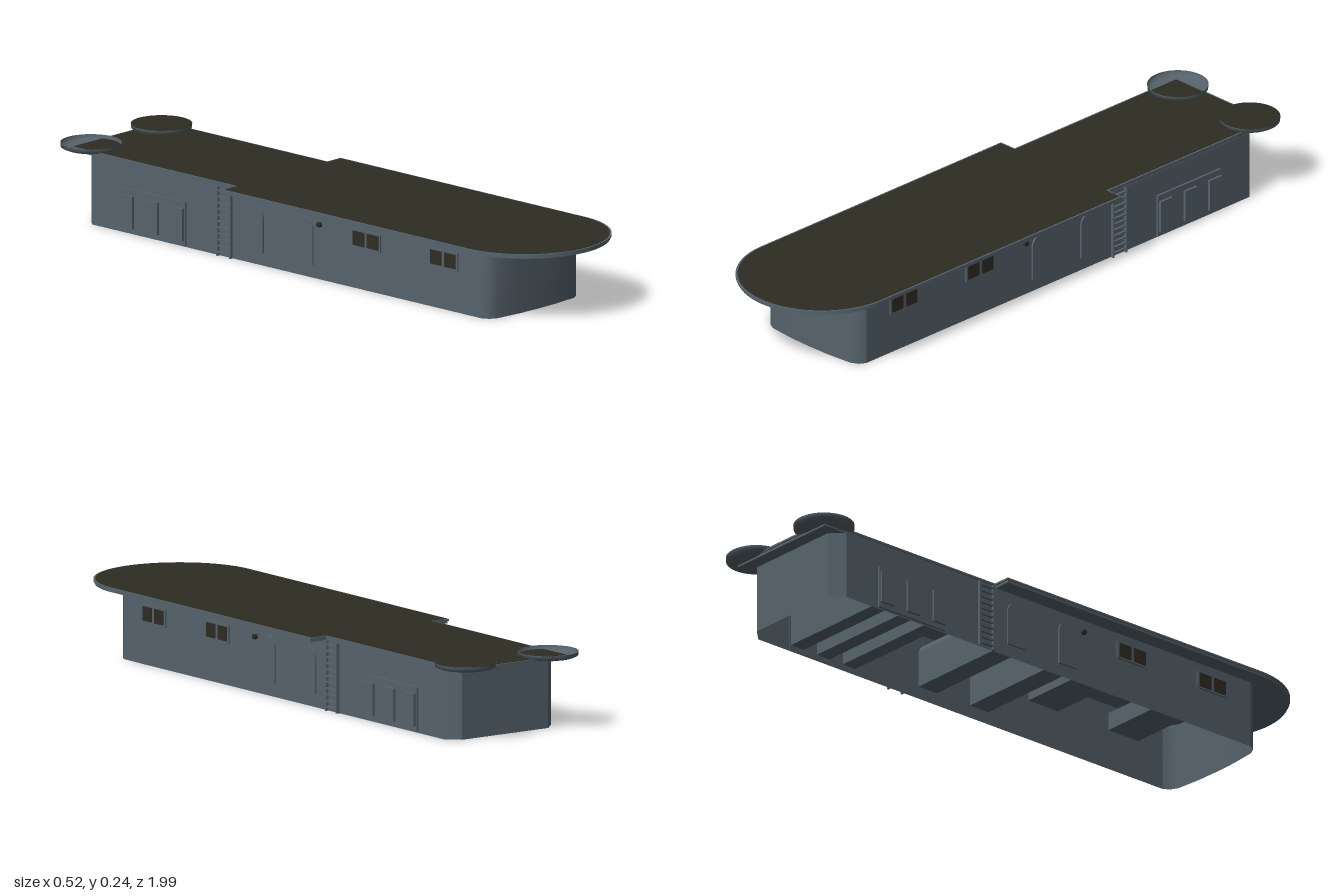
import * as THREE from 'three';
import { toCreasedNormals } from 'three/addons/utils/BufferGeometryUtils.js';

export function createModel() {
  const model = new THREE.Group();
  model.name = 'deckHouse';
  const slate = new THREE.MeshStandardMaterial({ name: 'slate', color: 0x56636c, side: THREE.DoubleSide });
  const olive = new THREE.MeshStandardMaterial({ name: 'darkOlive', color: 0x2e2c22 });

  function add(name, geometry, material, x = 0, y = 0, z = 0, parent = model) {
    const mesh = new THREE.Mesh(geometry, material);
    mesh.name = name;
    mesh.position.set(x, y, z);
    parent.add(mesh);
    return mesh;
  }
  const box = (name, w, h, d, x, y, z, material = slate, parent = model) =>
    add(name, new THREE.BoxGeometry(w, h, d), material, x, y, z, parent);

  // Upright open wall following a plan line of [x, z] points
  function wall(name, plan, height, crease) {
    const pos = [];
    for (let i = 0; i < plan.length - 1; i++) {
      const [ax, az] = plan[i], [bx, bz] = plan[i + 1];
      pos.push(ax, 0, az, bx, 0, bz, bx, height, bz, ax, 0, az, bx, height, bz, ax, height, az);
    }
    const g = new THREE.BufferGeometry();
    g.setAttribute('position', new THREE.Float32BufferAttribute(pos, 3));
    add(name, toCreasedNormals(g, crease), slate);
  }
  const H = 0.213;
  wall('frontWall', [[-0.2, 0.745], [-0.188, 0.766], [-0.165, 0.778], [-0.08, 0.786], [0, 0.788],
    [0.08, 0.786], [0.165, 0.778], [0.188, 0.766], [0.2, 0.745]], H, 0.9);
  wall('sideAndRearWall', [[0.2, 0.745], [0.2, -0.86], [0.16, -0.9], [-0.16, -0.9],
    [-0.2, -0.86], [-0.2, 0.745]], H, 0.3);

  // Roof outline with a round nose and a narrow tail, lying flat
  function roofLayer(name, inset, y, h, material) {
    const w = 0.258 - inset, t = 0.2 - inset, step = 0.27 - inset;
    const s = new THREE.Shape();
    s.moveTo(-t, 0.947 - inset);
    s.lineTo(t, 0.947 - inset);
    s.lineTo(t, step);
    s.lineTo(w, step);
    s.lineTo(w, -0.735);
    s.absarc(0, -0.735, w, 0, -Math.PI, true);
    s.lineTo(-w, step);
    s.lineTo(-t, step);
    s.closePath();
    const g = new THREE.ExtrudeGeometry(s, { depth: h, bevelEnabled: false, curveSegments: 32 });
    g.rotateX(-Math.PI / 2);
    // shape y maps to -z
    add(name, toCreasedNormals(g, 0.5), material, 0, y, 0);
  }
  roofLayer('roofSlab', 0.004, 0.211, 0.008, slate);
  roofLayer('roofRim', 0, 0.219, 0.006, slate);
  roofLayer('roofDeck', 0.006, 0.2245, 0.0015, olive);

  // Round platforms at the rear corners: an open tub on the right, a decked one on the left
  const tub = [[0, 0.216], [0.05, 0.217], [0.08, 0.22], [0.091, 0.225], [0.092, 0.237]]
    .map(([r, y]) => new THREE.Vector2(r, y));
  for (const s of [-1, 1]) {
    add(s < 0 ? 'rightTub' : 'leftTub', new THREE.LatheGeometry(tub, 40), slate, s * 0.153, 0, -0.908);
  }
  add('leftTubDeck', new THREE.CylinderGeometry(0.091, 0.091, 0.002, 40), olive, 0.153, 0.2365, -0.908);

  // Window pairs: frames run right through the house
  for (const z of [0.59, 0.272]) {
    box('windowFrame', 0.41, 0.056, 0.118, 0, 0.156, z);
    for (const s of [-1, 1]) {
      for (const dz of [-0.029, 0.029]) {
        box('windowPane', 0.003, 0.044, 0.046, s * 0.2055, 0.156, z + dz, olive);
      }
    }
  }

  // Arched doors, also running right through
  const arch = new THREE.Shape();
  arch.moveTo(-0.036, 0.04);
  arch.lineTo(0.036, 0.04);
  arch.lineTo(0.036, 0.147);
  arch.absarc(0, 0.147, 0.036, 0, Math.PI, false);
  arch.closePath();
  const doorGeometry = new THREE.ExtrudeGeometry(arch, { depth: 0.412, bevelEnabled: false, curveSegments: 12 });
  doorGeometry.translate(0, 0, -0.206);
  doorGeometry.rotateY(Math.PI / 2);
  for (const z of [0.017, -0.187]) add('archedDoor', doorGeometry, slate, 0, 0, z);

  // Vent boxes through the rear part
  for (const z of [-0.5, -0.603, -0.706]) box('ventBox', 0.43, 0.1, 0.05, 0, 0.07, z);

  for (const s of [-1, 1]) {
    // Side panel behind the vents
    box('ventPanel', 0.008, 0.135, 0.264, s * 0.203, 0.072, -0.603);

    // Small round lamp beside the front door
    const lamp = add('lamp', new THREE.CylinderGeometry(0.008, 0.008, 0.012, 14), olive, s * 0.204, 0.17, 0.08);
    lamp.rotation.z = Math.PI / 2;

    // Ladder
    const ladder = new THREE.Group();
    ladder.name = 'ladder';
    ladder.position.set(s * 0.206, 0, -0.309);
    model.add(ladder);
    for (const dz of [-0.027, 0.027]) box('ladderRail', 0.01, 0.213, 0.005, 0, 0.1065, dz, slate, ladder);
    for (let i = 0; i < 11; i++) box('ladderRung', 0.008, 0.005, 0.054, 0, 0.012 + i * 0.019, 0, slate, ladder);
  }
  return model;
}
